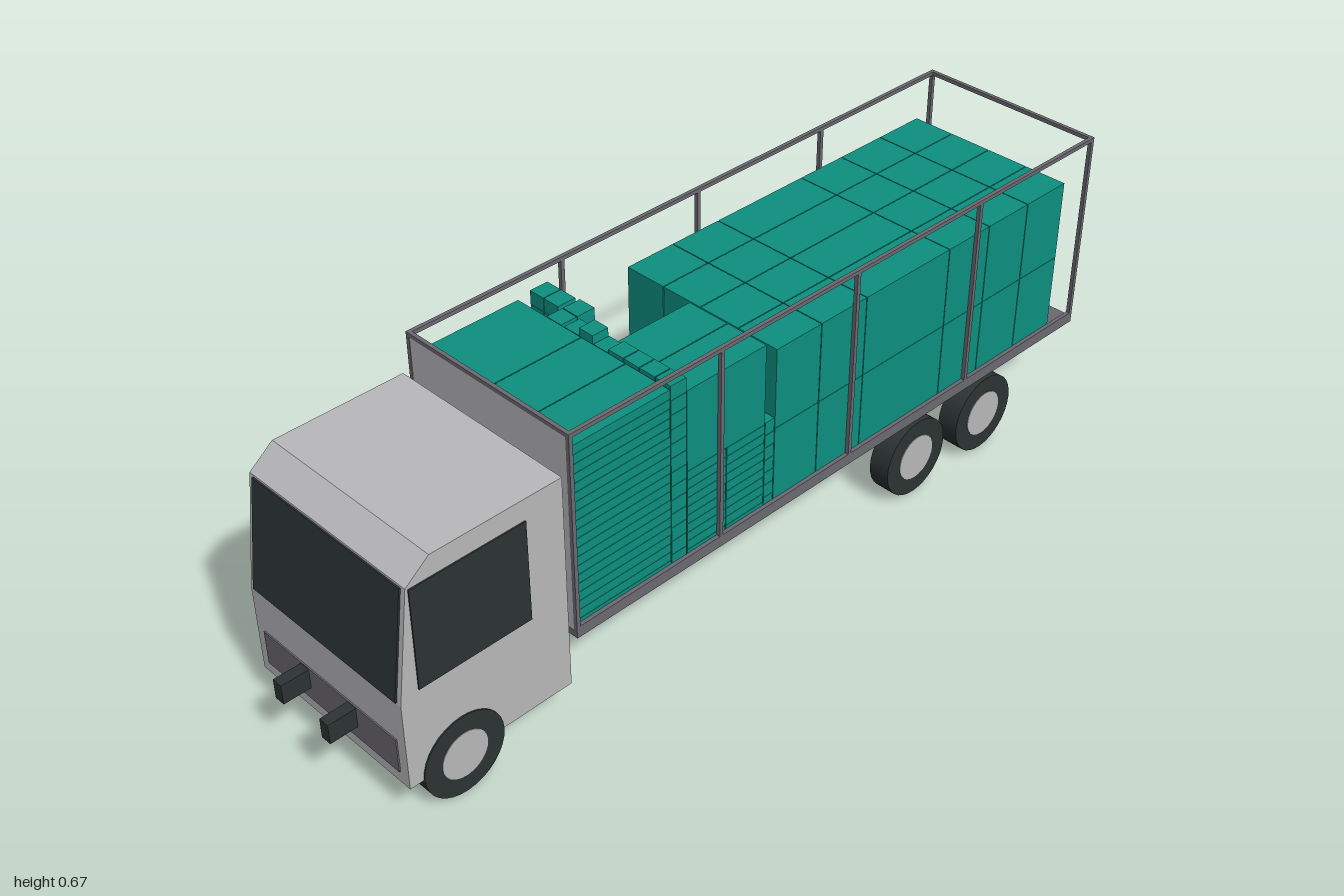
import * as THREE from 'three';

const mat = (name, color, side = THREE.FrontSide) => {
  const m = new THREE.MeshStandardMaterial({ color, side });
  m.name = name;
  return m;
};

export function createModel() {
  const paint = mat('light grey paint', 0xb9b9bb);
  const steel = mat('grey steel', 0x6c6a71);
  const dark = mat('dark rubber and glass', 0x2c3433);
  const teal = mat('teal cargo', 0x0d9081);

  const model = new THREE.Group();
  model.name = 'cargoTruck';
  const group = (name) => {
    const g = new THREE.Group();
    g.name = name;
    model.add(g);
    return g;
  };
  // Box given by its limits on each axis
  const box = (parent, name, m, x0, x1, y0, y1, z0, z1) => {
    const mesh = new THREE.Mesh(new THREE.BoxGeometry(x1 - x0, y1 - y0, z1 - z0), m);
    mesh.position.set((x0 + x1) / 2, (y0 + y1) / 2, (z0 + z1) / 2);
    mesh.name = name;
    parent.add(mesh);
    return mesh;
  };

  // Cab: side profile extruded across the width
  const cab = group('cab');
  const W = 0.224;
  const profile = new THREE.Shape([
    [-0.935, 0.092], [-0.547, 0.092], [-0.547, 0.588], [-0.845, 0.588], [-0.9, 0.545], [-0.935, 0.295],
  ].map(([x, y]) => new THREE.Vector2(x, y)));
  const body = new THREE.Mesh(
    new THREE.ExtrudeGeometry(profile, { depth: 2 * W, bevelEnabled: false }), paint);
  body.position.z = -W;
  body.name = 'cabBody';
  cab.add(body);

  // Windscreen lies on the sloping front
  const dx = 0.035, dy = 0.25;
  const screen = new THREE.Mesh(
    new THREE.BoxGeometry(0.006, Math.hypot(dx, dy) * 0.97, 0.425), dark);
  screen.position.set(-0.9185, 0.42, 0);
  screen.rotation.z = -Math.atan2(dx, dy);
  screen.name = 'windscreen';
  cab.add(screen);
  for (const s of [-1, 1]) {
    const z = s * W;
    box(cab, 'sideWindow', dark, -0.895, -0.635, 0.312, 0.541, z - 0.003, z + 0.003);
  }
  box(cab, 'grille', steel, -0.938, -0.932, 0.12, 0.2, -0.2, 0.2);

  // Chassis rails and wheels
  const chassis = group('chassis');
  for (const s of [-1, 1]) {
    const z = s * 0.071;
    box(chassis, 'chassisRail', dark, -1, 0.985, 0.151, 0.197, z - 0.0125, z + 0.0125);
    for (const x of [-0.81, 0.457, 0.688]) {
      const tyre = new THREE.Mesh(new THREE.CylinderGeometry(0.0935, 0.0935, 0.05, 32), dark);
      tyre.rotation.x = Math.PI / 2;
      tyre.position.set(x, 0.0935, s * 0.202);
      tyre.name = 'tyre';
      const hub = new THREE.Mesh(new THREE.CylinderGeometry(0.054, 0.054, 0.006, 24), paint);
      hub.rotation.x = Math.PI / 2;
      hub.position.set(x, 0.0935, s * 0.2255);
      hub.name = 'hub';
      chassis.add(tyre, hub);
    }
  }

  // Load bed with open frame
  const bed = group('loadBed');
  const X0 = -0.53, X1 = 0.995, Z = 0.227, T = 0.009;
  box(bed, 'bedFloor', steel, X0, X1, 0.197, 0.211, -Z, Z);
  box(bed, 'headboard', paint, X0 + 0.001, X0 + 0.004, 0.211, 0.665, -Z + T, Z - T);
  for (const s of [-1, 1]) {
    const z0 = s > 0 ? Z - T : -Z, z1 = z0 + T;
    box(bed, 'sideLip', steel, X0, X1, 0.211, 0.223, z0, z1);
    box(bed, 'topRail', steel, X0, X1, 0.664, 0.673, z0, z1);
    for (let i = 0; i < 5; i++) {
      const x = X0 + (i * (X1 - X0 - T)) / 4;
      box(bed, 'post', steel, x, x + T, 0.223, 0.664, z0, z1);
    }
  }
  for (const x of [X0, X1 - T]) box(bed, 'crossRail', steel, x, x + T, 0.664, 0.673, -Z + T, Z - T);

  // Cargo: grids of boxes with hairline gaps between them
  const cargo = group('cargo');
  const g = 0.001;
  const fill = (name, xs, ys, zs) => {
    for (let i = 1; i < xs.length; i++)
      for (let j = 1; j < ys.length; j++)
        for (let k = 1; k < zs.length; k++)
          box(cargo, name, teal, xs[i - 1] + g, xs[i] - g, ys[j - 1], ys[j] - g, zs[k - 1] + g, zs[k] - g);
  };
  const steps = (a, b, n) => Array.from({ length: n + 1 }, (_, i) => a + ((b - a) * i) / n);

  // Rear block of large boxes
  fill('largeBox', [0.009, 0.137, 0.27, 0.527, 0.657, 0.787, 0.916], [0.211, 0.4, 0.589], steps(-0.2, 0.219, 4));
  // Flat cartons against the headboard
  fill('flatCarton', [-0.524, -0.275], steps(0.211, 0.638, 20), [-0.205, -0.022, 0.1, 0.219]);
  // Middle boxes standing on low cartons
  fill('middleBox', [-0.233, -0.019], [0.425, 0.614], [0.009, 0.114, 0.219]);
  fill('lowCarton', [-0.233, -0.126, -0.019], steps(0.211, 0.425, 10), [0.009, 0.114, 0.219]);
  fill('longBox', [-0.185, 0.007], [0.211, 0.4], [-0.08, 0.007]);
  // Stacks of small cartons filling the gaps
  fill('smallCarton', [-0.019, 0.009], steps(0.211, 0.428, 7), steps(0.009, 0.219, 5));
  fill('smallCarton', [-0.275, -0.233], steps(0.211, 0.645, 13), steps(0.05, 0.219, 4));
  fill('smallCarton', [-0.275, -0.233], steps(0.211, 0.637, 13), [0.009, 0.05]);
  fill('smallCarton', [-0.275, -0.233], steps(0.211, 0.655, 13), [-0.031, 0.009]);
  fill('smallCarton', [-0.275, -0.233], steps(0.211, 0.637, 20), [-0.074, -0.031]);
  fill('smallCarton', [-0.275, -0.233, -0.187], steps(0.211, 0.637, 13), [-0.124, -0.08]);
  fill('smallCarton', [-0.237, -0.19], steps(0.211, 0.637, 13), [-0.216, -0.175, -0.132]);

  return model;
}
